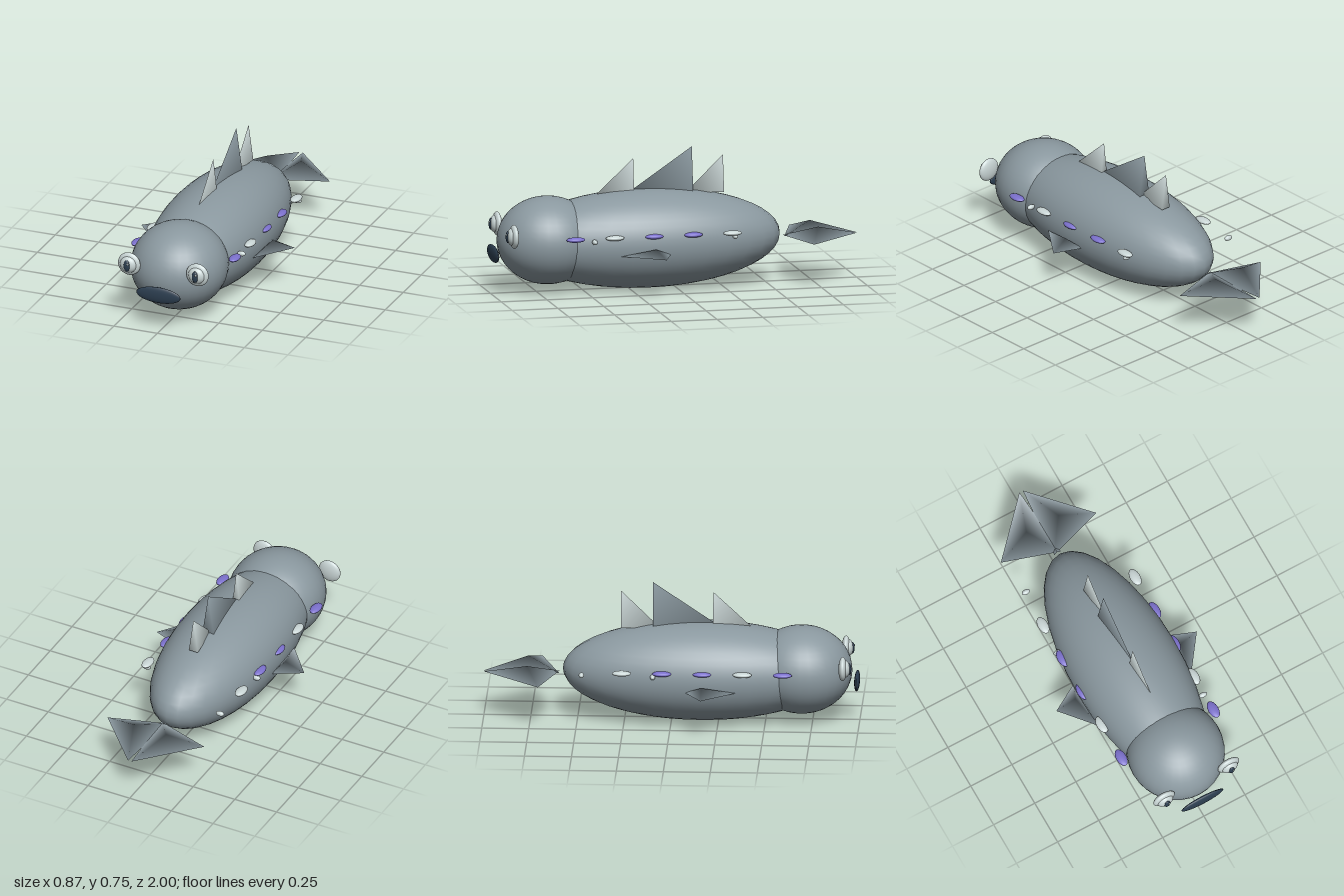
import * as THREE from 'three';

const mat = (name, color) => {
  const m = new THREE.MeshStandardMaterial({ color });
  m.name = name;
  return m;
};

export function createModel() {
  const skin = mat('slate grey skin', 0x8a989f);
  const pale = mat('pale grey', 0xc9d5d5);
  const violet = mat('violet', 0x7b70cc);
  const dark = mat('dark navy', 0x2c3e50);
  const fish = new THREE.Group();
  fish.name = 'fish';

  const add = (name, geometry, material) => {
    const mesh = new THREE.Mesh(geometry, material);
    mesh.name = name;
    fish.add(mesh);
    return mesh;
  };

  // Ellipsoid from its centre and half sizes
  const ellipsoid = (name, material, centre, radii, w = 16, h = 12) => {
    const g = new THREE.SphereGeometry(1, w, h).scale(...radii).translate(...centre);
    return add(name, g, material);
  };

  // Smooth-shaded tetrahedral fin; the winding is turned outward
  const fin = (name, material, a, b, c, apex) => {
    const [A, B, C, D] = [a, b, c, apex].map((p) => new THREE.Vector3(...p));
    const n = B.clone().sub(A).cross(C.clone().sub(A));
    const up = n.dot(D.clone().sub(A)) > 0;
    const g = new THREE.BufferGeometry();
    g.setAttribute('position', new THREE.Float32BufferAttribute(
      up ? [...a, ...b, ...c, ...apex] : [...a, ...c, ...b, ...apex], 3));
    g.setIndex([0, 2, 1, 0, 1, 3, 1, 2, 3, 2, 0, 3]);
    g.computeVertexNormals();
    return add(name, g, material);
  };

  // Body, head and mouth
  ellipsoid('body', skin, [0, 0.268, 0.15], [0.295, 0.265, 0.73], 32, 24);
  ellipsoid('head', skin, [0, 0.279, 0.69], [0.26, 0.235, 0.27], 32, 24);
  ellipsoid('mouth', dark, [0, 0.218, 0.985], [0.127, 0.045, 0.015], 32, 16);

  // Dorsal fins: front z, back z, half width, height, material
  [
    [0.435, 0.22, 0.022, 0.7, pale],
    [0.27, -0.1, 0.035, 0.75, skin],
    [-0.065, -0.27, 0.027, 0.7, pale],
  ].forEach(([front, back, half, top, m], i) =>
    fin('dorsalFin' + (i + 1), m, [0, 0.5, front], [half, 0.5, back], [-half, 0.5, back], [0, top, back]));

  for (const s of [1, -1]) {
    const side = s > 0 ? 'left' : 'right';

    // Eye: outer disc, bulge, pupil and glint
    const x = s * 0.196;
    ellipsoid(side + 'EyeRim', pale, [x, 0.341, 0.917], [0.064, 0.064, 0.023], 24, 16);
    ellipsoid(side + 'Eyeball', pale, [x, 0.341, 0.927], [0.047, 0.047, 0.03], 24, 16);
    ellipsoid(side + 'Pupil', dark, [x, 0.341, 0.951], [0.018, 0.032, 0.012]);
    ellipsoid(side + 'EyeGlint', pale, [x + 0.008, 0.354, 0.961], [0.006, 0.006, 0.004], 8, 6);

    // Pectoral fin
    fin(side + 'PectoralFin', skin, [s * 0.28, 0.224, 0.352], [s * 0.435, 0.224, s > 0 ? 0.14 : 0.17],
      [s * 0.28, 0.224, 0.08], [s * 0.32, 0.262, 0.17]);

    // Tail lobe
    fin(side + 'TailLobe', skin, [s * -0.02, 0.245, -0.6], [s * 0.29, 0.245, -0.7],
      [s * 0.01, 0.245, -1], [s * 0.097, 0.304, -0.767]);

    // Row of spots along the flank
    [violet, pale, violet, violet, pale].forEach((m, i) =>
      ellipsoid(side + 'FlankSpot' + (i + 1), m, [s * 0.28, 0.325, 0.6 - i * 0.214], [0.028, 0.014, 0.051]));
  }

  // Small pale spots scattered near the rows
  [[0.275, 0.307, 0.495], [0.28, 0.307, -0.27], [-0.283, 0.308, -0.09], [-0.265, 0.308, -0.47]]
    .forEach((p, i) => ellipsoid('smallSpot' + (i + 1), pale, p, [0.024, 0.014, 0.014]));

  return fish;
}
